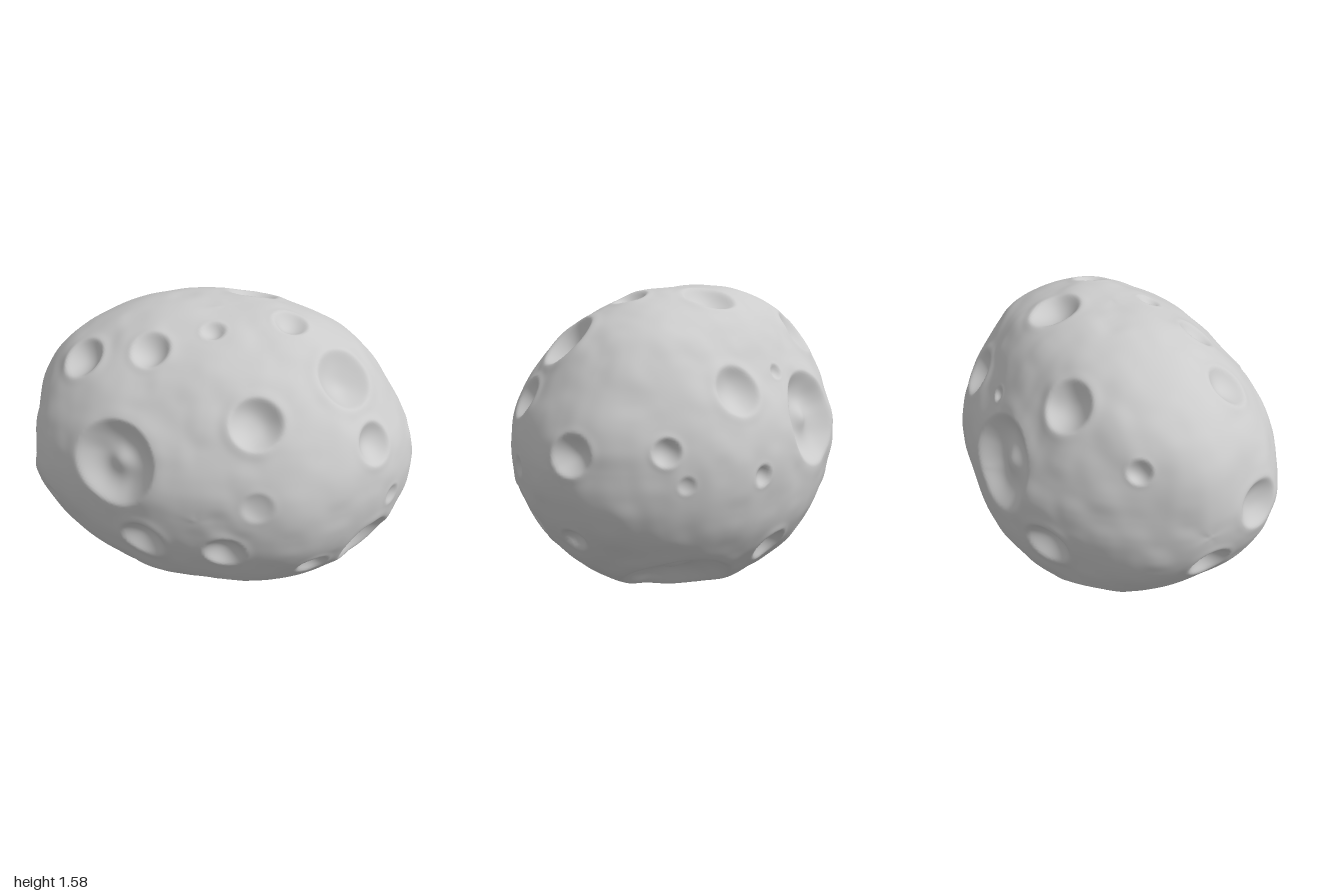
import * as THREE from 'three';
import { mergeVertices } from 'three/addons/utils/BufferGeometryUtils.js';

const SIZE = new THREE.Vector3(1, 0.8, 0.77); // half extents of the body

// Lumpiness of the body in one plane: radius ratio to the ellipse, every 30 degrees
function outline(ratios) {
  const curve = new THREE.CatmullRomCurve3(ratios.map((r) => new THREE.Vector3(0, r, 0)), true, 'catmullrom');
  return (a, b) => curve.getPoint((Math.atan2(b, a) / (2 * Math.PI) + 1) % 1).y;
}
const ratioXY = outline([0.995, 0.97, 1.015, 1, 1.06, 1.08, 1, 0.965, 0.995, 0.985, 0.99, 0.995]);
const ratioZY = outline([1, 0.945, 0.93, 0.985, 1.012, 0.93, 0.97, 1.04, 1.022, 0.99, 0.95, 0.98]);
const ratioXZ = outline([0.995, 1, 1.025, 0.99, 0.995, 1.085, 1, 0.97, 1.015, 1, 1.01, 0.98]);

// Blend the three outlines over the whole sphere of directions
function bodyRatio(n) {
  const wx = 1 / (n.x * n.x + 0.06), wy = 1 / (n.y * n.y + 0.06), wz = 1 / (n.z * n.z + 0.06);
  return (wz * ratioXY(n.x, n.y) + wx * ratioZY(n.z, n.y) + wy * ratioXZ(n.x, n.z)) / (wx + wy + wz);
}

// Craters on each side: [across, up, radius], measured from the body centre
const frontCraters = [[-0.43, 0.22, 0.22], [-0.29, -0.19, 0.125], [0.13, -0.19, 0.105], [0.25, 0.46, 0.13],
  [0.55, -0.35, 0.085], [0.13, -0.52, 0.08], [-0.08, -0.7, 0.085]];
const faintFrontCraters = [[0.29, 0.1, 0.08], [-0.55, -0.54, 0.08], [-0.83, -0.12, 0.05]];
const leftCraters = [[-0.35, -0.31, 0.16], [0.1, 0.08, 0.1], [0.48, 0.1, 0.07], [0.03, -0.36, 0.07],
  [-0.34, 0.28, 0.11], [-0.22, 0.56, 0.16], [0.3, -0.655, 0.28]];
const faintLeftCraters = [[-0.3, -0.04, 0.055], [0.55, -0.06, 0.045], [-0.27, -0.6, 0.06]];
const topCraters = [[0.1, 0.27, 0.135], [-0.45, 0.46, 0.13], [0.34, -0.05, 0.09], [-0.02, -0.2, 0.06],
  [-0.67, -0.27, 0.115], [-0.31, -0.31, 0.1], [0.03, 0.62, 0.04]];
const upperBackCraters = [[-0.26, -0.19, 0.25], [0.08, -0.51, 0.13], [0.52, 0, 0.06], [0.8, -0.42, 0.11]];
const lowerBackCraters = [[0.2, 0.6, 0.13], [0.32, 0.25, 0.055], [0.41, -0.24, 0.105], [0.62, -0.57, 0.15]];
const rightCraters = [[0.3, 0.07, 0.13]];

// Place craters on the body along one facing direction (degrees)
function placeCraters(azimuth, elevation, depth, list) {
  const a = THREE.MathUtils.degToRad(azimuth), e = THREE.MathUtils.degToRad(elevation);
  const right = new THREE.Vector3(Math.cos(a), 0, -Math.sin(a));
  const front = new THREE.Vector3(Math.sin(a) * Math.cos(e), Math.sin(e), Math.cos(a) * Math.cos(e));
  const upward = front.clone().cross(right);
  const dir = front.clone().divide(SIZE);
  return list.map(([across, up, radius]) => {
    const start = right.clone().multiplyScalar(across).addScaledVector(upward, up).divide(SIZE);
    const A = dir.dot(dir), B = start.dot(dir);
    const centre = new THREE.Vector3();
    let k = 1;
    for (let i = 0; i < 5; i++) {
      const disc = Math.max(0, B * B - A * (start.dot(start) - k * k));
      centre.copy(start).addScaledVector(dir, (Math.sqrt(disc) - B) / A).normalize();
      k = bodyRatio(centre);
    }
    return { centre: centre.multiplyScalar(k).multiply(SIZE), radius, depth };
  });
}

// Small craters are round bowls; large ones have a flat floor with a low central mound
function craterHeight(t, radius, depth) {
  if (t > 1.7) return 0;
  const rim = 0.06 * Math.exp(-(((t - 1.08) / 0.22) ** 2));
  const inside = Math.max(0, 1 - t * t);
  if (radius < 0.2) return depth * radius * (rim - inside ** 1.3 * (1 + 0.3 * t * t));
  const floor = Math.max(0, 1 - t ** 4) ** 1.4;
  const mound = 0.25 * Math.exp(-((t / 0.28) ** 2));
  return 0.72 * depth * radius * (rim - floor + mound);
}

// Seeded value noise for the rough skin
function hash(x, y, z) {
  let h = Math.imul(x, 374761393) ^ Math.imul(y, 668265263) ^ Math.imul(z, 1274126177);
  h = Math.imul(h ^ (h >>> 13), 1103515245);
  return ((h ^ (h >>> 16)) >>> 0) / 2147483648 - 1;
}
function noise(p, scale) {
  const c = [p.x, p.y, p.z].map((v) => v * scale + 50);
  const i = c.map(Math.floor);
  const f = c.map((v, k) => THREE.MathUtils.smootherstep(v - i[k], 0, 1));
  let sum = 0;
  for (let k = 0; k < 8; k++) {
    const o = [k & 1, (k >> 1) & 1, k >> 2];
    const w = o.reduce((acc, bit, j) => acc * (bit ? f[j] : 1 - f[j]), 1);
    sum += w * hash(i[0] + o[0], i[1] + o[1], i[2] + o[2]);
  }
  return sum;
}

export function createModel() {
  const craters = [
    ...placeCraters(0, 0, 0.52, frontCraters),
    ...placeCraters(0, 0, 0.2, faintFrontCraters),
    ...placeCraters(90, 0, 0.52, leftCraters),
    ...placeCraters(90, 0, 0.28, faintLeftCraters),
    ...placeCraters(0, 90, 0.48, topCraters),
    ...placeCraters(215, 27, 0.52, upperBackCraters),
    ...placeCraters(133, -25, 0.5, lowerBackCraters),
    ...placeCraters(-90, 0, 0.48, rightCraters),
  ];

  // Fine sphere with shared vertices, so the normals come out smooth
  const sphere = new THREE.IcosahedronGeometry(1, 80);
  sphere.deleteAttribute('uv');
  sphere.deleteAttribute('normal');
  const geometry = mergeVertices(sphere, 1e-5);

  // Push every vertex to the body surface, then add skin noise and craters
  const pos = geometry.attributes.position;
  const n = new THREE.Vector3(), p = new THREE.Vector3(), normal = new THREE.Vector3();
  for (let i = 0; i < pos.count; i++) {
    n.fromBufferAttribute(pos, i).normalize();
    p.copy(n).multiplyScalar(bodyRatio(n)).multiply(SIZE);
    normal.copy(n).divide(SIZE).normalize();
    let h = 0.01 * noise(p, 4) + 0.005 * noise(p, 9);
    for (const { centre, radius, depth } of craters) {
      h += craterHeight(p.distanceTo(centre) / radius, radius, depth);
    }
    p.addScaledVector(normal, h);
    pos.setXYZ(i, p.x, p.y, p.z);
  }
  geometry.computeVertexNormals();

  // Centre the rock and rest it on the ground
  geometry.center();
  geometry.computeBoundingBox();
  geometry.translate(0, -geometry.boundingBox.min.y, 0);

  const rock = new THREE.Mesh(geometry, new THREE.MeshStandardMaterial({ color: 0xcccccc }));
  rock.name = 'crateredRock';
  const group = new THREE.Group();
  group.name = 'asteroid';
  group.add(rock);
  return group;
}
